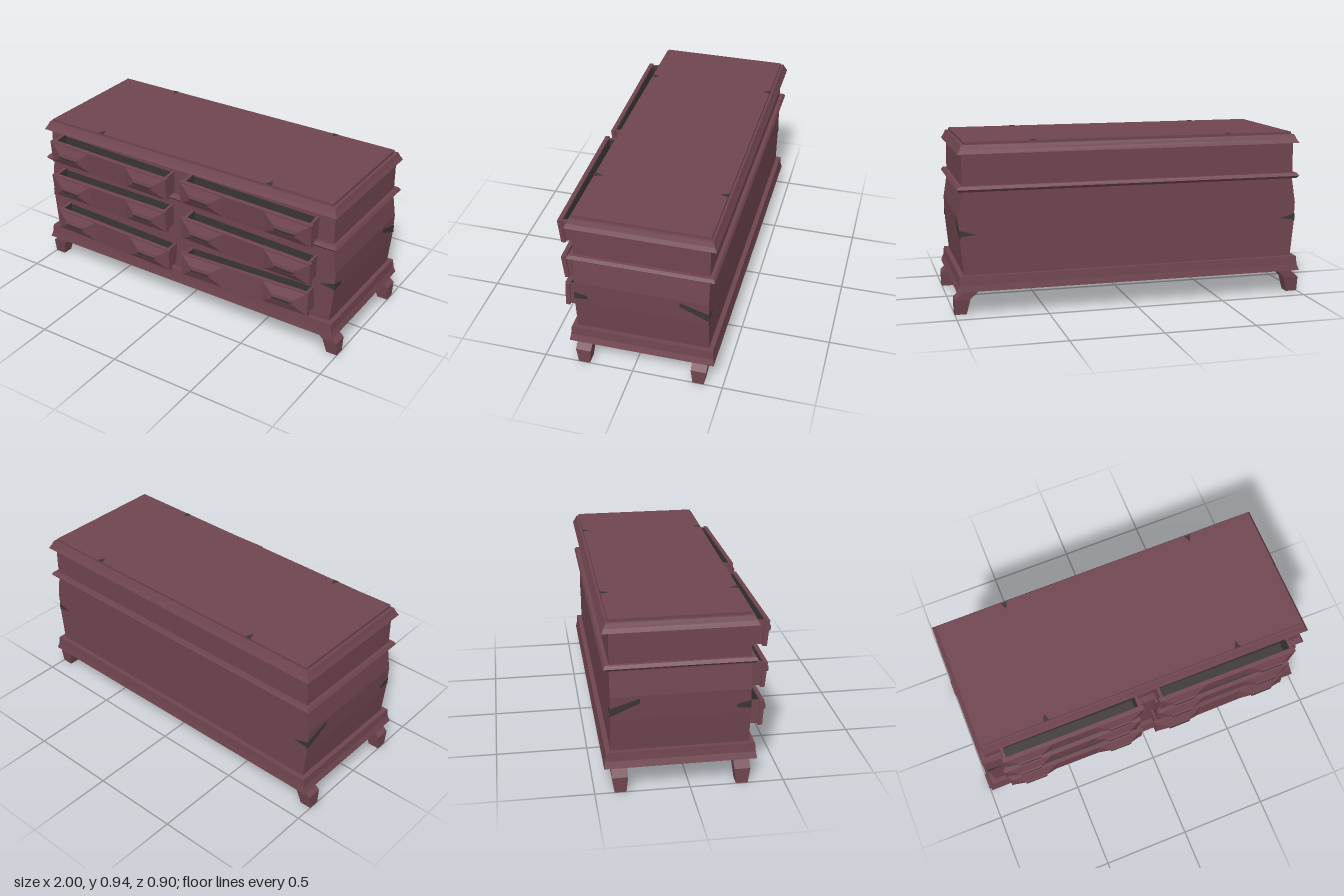
import * as THREE from 'three';

const wood = new THREE.MeshStandardMaterial({ color: 0x70454f, flatShading: true });
wood.name = 'dark red wood';
const dark = new THREE.MeshStandardMaterial({ color: 0x3a3635, flatShading: true });
dark.name = 'dark grey recess';

function add(parent, name, geometry, material, x = 0, y = 0, z = 0) {
  const mesh = new THREE.Mesh(geometry, material);
  mesh.name = name;
  mesh.position.set(x, y, z);
  parent.add(mesh);
  return mesh;
}

const box = (w, h, d) => new THREE.BoxGeometry(w, h, d);

// Closed solid through stacked rectangles [y, x0, x1, z0, z1], lowest first
function stack(rings) {
  const pos = [], index = [];
  for (const [y, x0, x1, z0, z1] of rings) {
    pos.push(x0, y, z1, x1, y, z1, x1, y, z0, x0, y, z0);
  }
  for (let r = 0; r < rings.length - 1; r++) {
    for (let k = 0; k < 4; k++) {
      const a = r * 4 + k, b = r * 4 + (k + 1) % 4;
      index.push(a, b, b + 4, a, b + 4, a + 4);
    }
  }
  const t = (rings.length - 1) * 4;
  index.push(0, 2, 1, 0, 3, 2, t, t + 1, t + 2, t, t + 2, t + 3);
  const g = new THREE.BufferGeometry();
  g.setAttribute('position', new THREE.Float32BufferAttribute(pos, 3));
  g.setIndex(index);
  const flat = g.toNonIndexed();
  flat.computeVertexNormals();
  return flat;
}

// Same, for profiles [y, half width, half depth] around the centre line
const profile = (rows) => stack(rows.map(([y, hx, hz]) => [y, -hx, hx, -hz, hz]));

// Thin flat plate from an outline
function plate(points, depth = 0.006) {
  const shape = new THREE.Shape(points.map(([x, y]) => new THREE.Vector2(x, y)));
  const g = new THREE.ExtrudeGeometry(shape, { depth, bevelEnabled: false });
  g.translate(0, 0, -depth / 2);
  return g;
}

// Open drawer with a panelled front; its origin is the middle of the front board
function makeDrawer() {
  const d = new THREE.Group();
  d.name = 'drawer';
  const w = 0.82, h = 0.14;
  add(d, 'drawerFront', box(w, h, 0.024), wood);
  add(d, 'drawerFloor', box(w - 0.04, 0.012, 0.13), wood, 0, -0.058, -0.07);
  add(d, 'drawerFloorLining', box(w - 0.06, 0.004, 0.12), dark, 0, -0.05, -0.07);
  add(d, 'drawerFrontLining', box(w - 0.06, h - 0.02, 0.004), dark, 0, 0.006, -0.014);
  for (const s of [-1, 1]) {
    add(d, 'drawerSide', box(0.014, h - 0.01, 0.13), wood, s * (w / 2 - 0.018), 0, -0.07);
    add(d, 'drawerSideLining', box(0.004, h - 0.02, 0.12), dark, s * (w / 2 - 0.027), 0.003, -0.07);
    // raised panel with its pull
    const bump = profile([[0, 0.135, 0.064], [0.022, 0.07, 0.018]]);
    bump.rotateX(Math.PI / 2);
    add(d, 'raisedPanel', bump, wood, s * 0.265, 0, 0.012);
    add(d, 'handle', box(0.13, 0.026, 0.014), wood, s * 0.265, 0, 0.036);
    add(d, 'handleSlot', box(0.12, 0.014, 0.004), dark, s * 0.265, -0.002, 0.043);
    add(d, 'handleUnderside', box(0.12, 0.004, 0.012), dark, s * 0.265, -0.013, 0.036);
  }
  return d;
}

export function createModel() {
  const root = new THREE.Group();
  root.name = 'dresser';
  const cz = -0.045;

  // Carcass with slightly bulging sides
  add(root, 'body', profile([
    [0.16, 0.94, 0.365], [0.4, 0.963, 0.365], [0.53, 0.968, 0.365],
    [0.66, 0.947, 0.365], [0.92, 0.945, 0.365],
  ]), wood, 0, 0, cz);

  // Mouldings
  add(root, 'baseMoulding', profile([
    [0.135, 0.99, 0.402], [0.17, 0.977, 0.396], [0.218, 0.972, 0.392],
  ]), wood, 0, 0, cz);
  add(root, 'middleMoulding', profile([
    [0.674, 0.962, 0.384], [0.688, 0.977, 0.396], [0.705, 0.965, 0.386],
  ]), wood, 0, 0, cz);
  add(root, 'topMoulding', profile([
    [0.878, 0.97, 0.4], [0.9, 0.957, 0.388], [0.925, 0.947, 0.377],
  ]), wood, 0, 0, cz);
  add(root, 'topBoard', profile([[0.92, 0.93, 0.365], [0.94, 0.93, 0.365]]), wood, 0, 0, cz);

  // Splayed feet
  for (const s of [-1, 1]) {
    for (const f of [-1, 1]) {
      const ring = (y, xa, xb, za, zb) => {
        const x = [s * xa, s * xb].sort((a, b) => a - b);
        const z = [cz + f * za, cz + f * zb].sort((a, b) => a - b);
        return [y, ...x, ...z];
      };
      add(root, 'foot', stack([
        ring(0, 0.935, 1, 0.29, 0.352),
        ring(0.085, 0.915, 1, 0.28, 0.365),
        ring(0.14, 0.855, 0.94, 0.28, 0.365),
      ]), wood);
    }
  }

  // Drawers: x, y, z, forward lean, sideways slant
  const drawers = [
    [-0.457, 0.78, 0.41, 0.1, -0.025], [0.455, 0.78, 0.41, 0.1, -0.025],
    [-0.468, 0.56, 0.404, 0.1, -0.006], [0.455, 0.547, 0.404, 0.1, -0.03],
    [-0.453, 0.32, 0.4, 0.07, -0.035], [0.45, 0.33, 0.402, -0.03, 0.03],
  ];
  for (const [x, y, z, lean, slant] of drawers) {
    const d = makeDrawer();
    d.position.set(x, y, z);
    d.rotation.set(lean, 0, slant);
    root.add(d);
    const opening = add(root, 'drawerOpening', box(0.77, 0.115, 0.004), dark, x, y + 0.004, 0.32);
    opening.rotation.z = slant;
  }

  // Gashes at the corners
  const frontGash = [[0.321, 0.422], [0.321, 0.465], [0.25, 0.448], [0.245, 0.43]];
  const rearGash = [[-0.411, 0.42], [-0.411, 0.465], [-0.255, 0.515], [-0.255, 0.49]];
  for (const s of [-1, 1]) {
    for (const outline of [frontGash, rearGash]) {
      add(root, 'sideGash', plate(outline, 0.009), dark, s * 0.963, 0, 0).rotation.y = -Math.PI / 2;
    }
    const corner = [[s * 0.964, 0.43], [s * 0.964, 0.465], [s * 0.88, 0.44]];
    add(root, 'frontGash', plate(corner), dark, 0, 0, 0.32);
    add(root, 'backGash', plate(corner), dark, 0, 0, -0.41);
  }

  // Chips along the long edges of the top
  for (const [x, edge] of [[-0.57, 1], [0.55, 1], [-0.55, -1], [0.56, -1]]) {
    const chip = plate([[-0.017, 0], [0.017, 0], [0, edge * 0.04]], 0.004);
    add(root, 'topChip', chip, dark, x, 0.94, cz + edge * 0.365).rotation.x = -Math.PI / 2;
  }

  return root;
}
